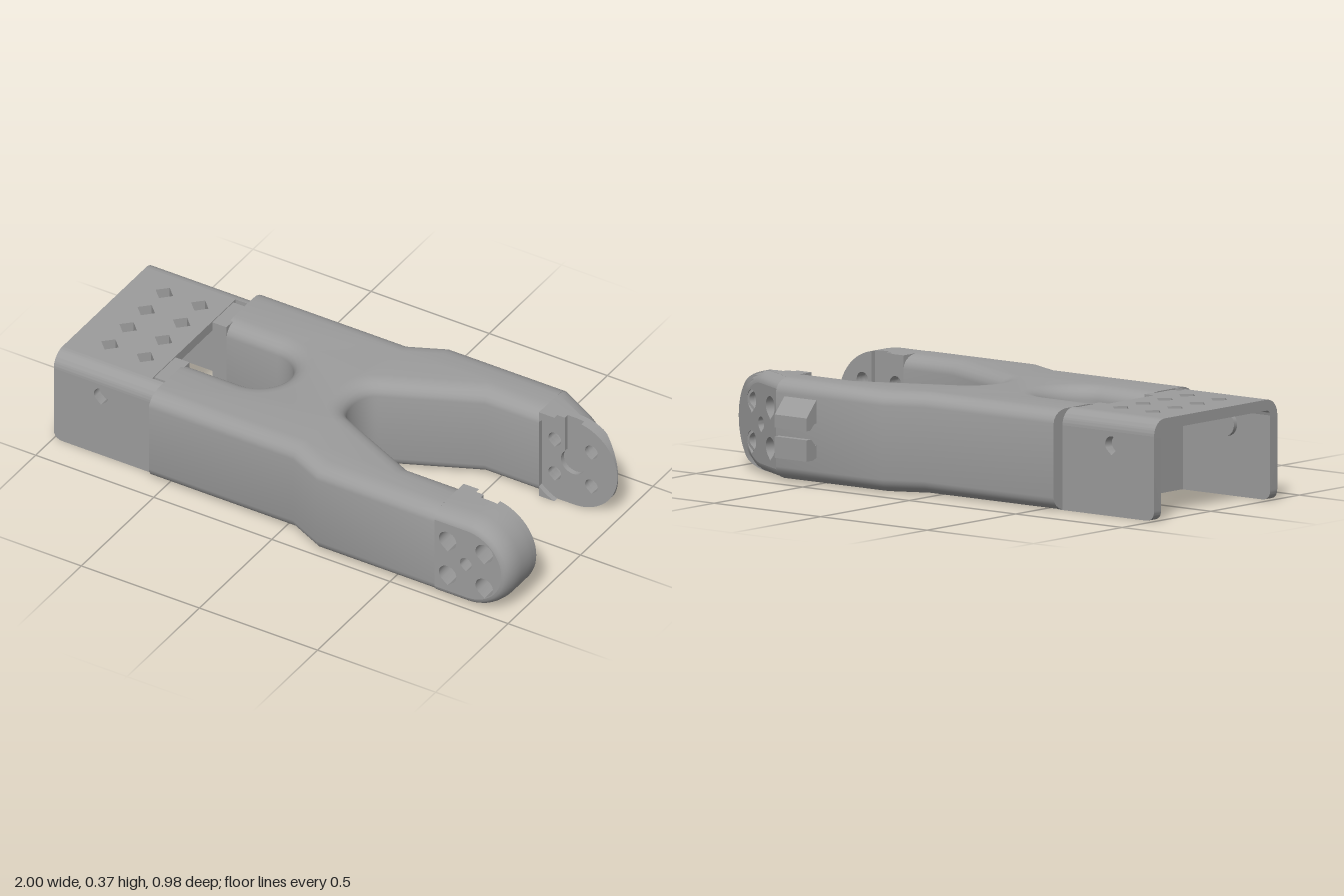
import * as THREE from 'three';
import { toCreasedNormals } from 'three/addons/utils/BufferGeometryUtils.js';

const H = 0.37, MID = H / 2;
const TIP_X = 0.68, CX = 0.815, R = MID; // arm tip start and end-round centre
const grey = new THREE.MeshStandardMaterial({ color: 0x9c9c9c });
grey.name = 'grey';

function part(parent, name, geo, x = 0, y = 0, z = 0) {
  const m = new THREE.Mesh(toCreasedNormals(geo, 0.6), grey);
  m.name = name;
  m.position.set(x, y, z);
  parent.add(m);
  return m;
}

// Mirror a geometry in z and restore the corner order
function mirrorZ(geo) {
  const g = geo.index ? geo.toNonIndexed() : geo;
  const p = g.attributes.position;
  const a = new THREE.Vector3(), b = new THREE.Vector3();
  for (let i = 0; i < p.count; i += 3) {
    a.fromBufferAttribute(p, i + 1);
    b.fromBufferAttribute(p, i + 2);
    p.setXYZ(i + 1, b.x, b.y, b.z);
    p.setXYZ(i + 2, a.x, a.y, a.z);
  }
  for (let i = 0; i < p.count; i++) p.setZ(i, -p.getZ(i));
  return g;
}

const extrude = (shape, depth) =>
  new THREE.ExtrudeGeometry(shape, { depth, bevelEnabled: false, curveSegments: 12 });
const poly = pts => new THREE.Shape(pts.map(p => new THREE.Vector2(...p)));

// Round hole with a point at the bottom
function teardrop(x, y, r) {
  const pts = [];
  for (let i = 0; i <= 16; i++) {
    const a = -Math.PI / 4 + (i / 16) * Math.PI * 1.5;
    pts.push(new THREE.Vector2(x + r * Math.cos(a), y + r * Math.sin(a)));
  }
  pts.push(new THREE.Vector2(x, y - r * 1.3));
  return new THREE.Path(pts);
}
const boltHoles = r => [0.735, 0.89].flatMap(x => [0.11, 0.26].map(y => teardrop(x, y, r)));

// Forked body: plan outline with rounded edges, trimmed flat at both ends
function bodyGeometry() {
  const s = new THREE.Shape();
  s.moveTo(-0.75, -0.395);
  s.lineTo(0.04, -0.395);
  s.lineTo(0.18, -0.46);
  s.lineTo(0.85, -0.46);
  s.lineTo(0.85, -0.26);
  s.lineTo(0.45, -0.26);
  s.lineTo(0.10, -0.10);
  s.bezierCurveTo(0.03, -0.07, 0.03, 0.07, 0.10, 0.10);
  s.lineTo(0.45, 0.26);
  s.lineTo(0.85, 0.26);
  s.lineTo(0.85, 0.46);
  s.lineTo(0.18, 0.46);
  s.lineTo(0.04, 0.395);
  s.lineTo(-0.75, 0.395);
  s.lineTo(-0.75, 0.125);
  s.lineTo(-0.345, 0.125);
  s.absarc(-0.345, 0, 0.125, Math.PI / 2, -Math.PI / 2, true);
  s.lineTo(-0.75, -0.125);
  const bt = 0.05, bs = 0.07;
  const g = new THREE.ExtrudeGeometry(s, {
    depth: H - 2 * bt, bevelThickness: bt, bevelSize: bs, bevelOffset: -bs,
    bevelSegments: 5, curveSegments: 14,
  });
  g.rotateX(-Math.PI / 2);
  g.translate(0, bt, 0.025);
  const p = g.attributes.position;
  for (let i = 0; i < p.count; i++) p.setX(i, THREE.MathUtils.clamp(p.getX(i), -0.57, TIP_X));
  return g;
}

// Tip outline in side view, inset by d
function tipPath(d) {
  const pts = [[TIP_X, d]];
  for (let i = 0; i <= 28; i++) {
    const a = -Math.PI / 2 + (i / 28) * Math.PI;
    pts.push([CX + (R - d) * Math.cos(a), MID + (R - d) * Math.sin(a)]);
  }
  pts.push([TIP_X, H - d]);
  return pts;
}

// Slab between offsets a and b from the inner face, never past the outer face
function layer(shape, a, b, thick) {
  const g = extrude(shape, 1), p = g.attributes.position;
  for (let i = 0; i < p.count; i++) {
    p.setZ(i, Math.min(p.getZ(i) > 0.5 ? b : a, thick(p.getX(i))));
  }
  return g;
}

// Rounded outer rim of a tip, lofted from inset outlines
function rimGeometry(thick) {
  const pos = [], idx = [], rows = 7, d0 = 0.038, drop = 0.08;
  for (let r = 0; r <= rows; r++) {
    const a = (Math.max(r - 1, 0) / (rows - 1)) * Math.PI / 2;
    for (const [x, y] of tipPath(d0 * (1 - Math.sin(Math.PI / 2 - a) )) ) {
      const t = thick(x), base = Math.min(0.045, t);
      pos.push(x, y, r === 0 ? base : Math.max(t - drop * (1 - Math.sin(a)), base));
    }
  }
  const n = pos.length / 3 / (rows + 1);
  for (let r = 0; r < rows; r++) {
    for (let i = 0; i < n - 1; i++) {
      const a = r * n + i;
      idx.push(a, a + 1, a + n + 1, a, a + n + 1, a + n);
    }
  }
  const g = new THREE.BufferGeometry();
  g.setAttribute('position', new THREE.Float32BufferAttribute(pos, 3));
  g.setIndex(idx);
  return g;
}

function armTip(parent, name, z, thick, flip) {
  const tip = new THREE.Group();
  tip.name = name;
  tip.position.z = z;
  parent.add(tip);
  const add = (n, g) => part(tip, n, flip ? mirrorZ(g) : g);

  // Inner face with a keyhole groove open at the top
  const face = new THREE.Shape(tipPath(0).slice(0, 15).map(p => new THREE.Vector2(...p)));
  for (const [x, y] of tipPath(0).slice(15, 29)) if (x > 0.85) face.lineTo(x, y);
  face.lineTo(0.847, 0.367);
  face.lineTo(0.847, 0.222);
  face.absarc(0.812, MID, 0.051, 0.815, Math.PI - 0.815, true);
  face.lineTo(0.777, H);
  face.lineTo(TIP_X, H);
  face.holes = boltHoles(0.027);
  add('grooveFace', layer(face, 0, 0.02, thick));

  const web = poly(tipPath(0));
  web.holes = boltHoles(0.027);
  add('web', layer(web, 0.02, 0.045, thick));

  const core = poly(tipPath(0.038));
  core.holes = [...boltHoles(0.037), teardrop(0.812, MID, 0.025)];
  add('outerFace', layer(core, 0.045, Infinity, thick));
  add('roundedRim', rimGeometry(thick));

  // Small lips where the round recess meets the arm
  for (const s of [-1, 1]) {
    const pts = [[TIP_X, MID + s * MID], [TIP_X, MID + s * 0.143]];
    for (let i = 1; i <= 4; i++) {
      const x = TIP_X + 0.065 * i / 4;
      pts.push([x, MID + s * Math.min(MID, Math.sqrt(0.04 - (x - 0.82) ** 2))]);
    }
    const g = extrude(poly(pts), 0.02);
    g.translate(0, 0, -0.02);
    add('recessLip', g);
  }
}

export function createModel() {
  const model = new THREE.Group();
  model.name = 'forkedArm';
  part(model, 'body', bodyGeometry());
  armTip(model, 'frontArmTip', 0.305, () => 0.18, false);
  armTip(model, 'backArmTip', -0.255, x => 0.175 - 0.53 * (x - TIP_X), true);

  // Open-bottomed channel at the narrow end
  const channel = new THREE.Group();
  channel.name = 'channel';
  channel.position.z = 0.0275;
  model.add(channel);
  const W = 0.3475, r = 0.06, t = 0.04;
  const plate = poly([[-1, -W + r], [-0.62, -W + r], [-0.62, W - r], [-1, W - r]]);
  for (const x of [-0.86, -0.71]) {
    for (let i = 0; i < 4; i++) {
      const v = -0.1875 + i * 0.125, d = 0.037;
      plate.holes.push(new THREE.Path([[x - d, v], [x, v - d], [x + d, v], [x, v + d]]
        .map(p => new THREE.Vector2(...p))));
    }
  }
  const plateGeo = extrude(plate, t);
  plateGeo.rotateX(-Math.PI / 2);
  part(channel, 'topPlate', plateGeo, 0, H - t, 0);

  for (const flip of [false, true]) {
    const add = (n, g) => part(channel, n, flip ? mirrorZ(g) : g);
    const wall = new THREE.Shape();
    wall.moveTo(-0.96, 0);
    wall.lineTo(-0.55, 0);
    wall.lineTo(-0.55, H - r);
    wall.lineTo(-1, H - r);
    wall.lineTo(-1, 0.04);
    wall.quadraticCurveTo(-1, 0, -0.96, 0);
    wall.holes.push(teardrop(-0.8, 0.262, 0.03));
    const wallGeo = extrude(wall, t);
    wallGeo.translate(0, 0, W - t);
    add('sideWall', wallGeo);

    const corner = new THREE.Shape();
    corner.absarc(r - W, H - r, r, Math.PI / 2, Math.PI, false);
    corner.absarc(r - W, H - r, r - t, Math.PI, Math.PI / 2, true);
    const cornerGeo = extrude(corner, 0.45);
    cornerGeo.rotateY(Math.PI / 2);
    cornerGeo.translate(-1, 0, 0);
    add('roundedCorner', cornerGeo);

    const boss = new THREE.CylinderGeometry(0.045, 0.045, 0.02, 20);
    boss.rotateX(Math.PI / 2);
    boss.translate(-0.8, 0.262, W - t - 0.008);
    add('screwBoss', boss);

    const block = new THREE.BoxGeometry(0.06, 0.358, 0.145);
    block.translate(-0.59, 0.187, 0.2);
    add('armEnd', block);
  }

  // Pair of cable hooks on the back arm
  const hooks = {
    upperHook: [[0.42, 0.31], [0.435, 0.31], [0.49, 0.25], [0.49, 0.203], [0.47, 0.203], [0.445, 0.225], [0.42, 0.225]],
    lowerHook: [[0.42, 0.15], [0.44, 0.145], [0.465, 0.17], [0.49, 0.17], [0.49, 0.092], [0.455, 0.092], [0.42, 0.105]],
  };
  for (const [name, pts] of Object.entries(hooks)) {
    const g = extrude(poly(pts), 0.15);
    g.rotateY(Math.PI / 2);
    part(model, name, g, 0.49, 0, 0);
  }
  return model;
}
